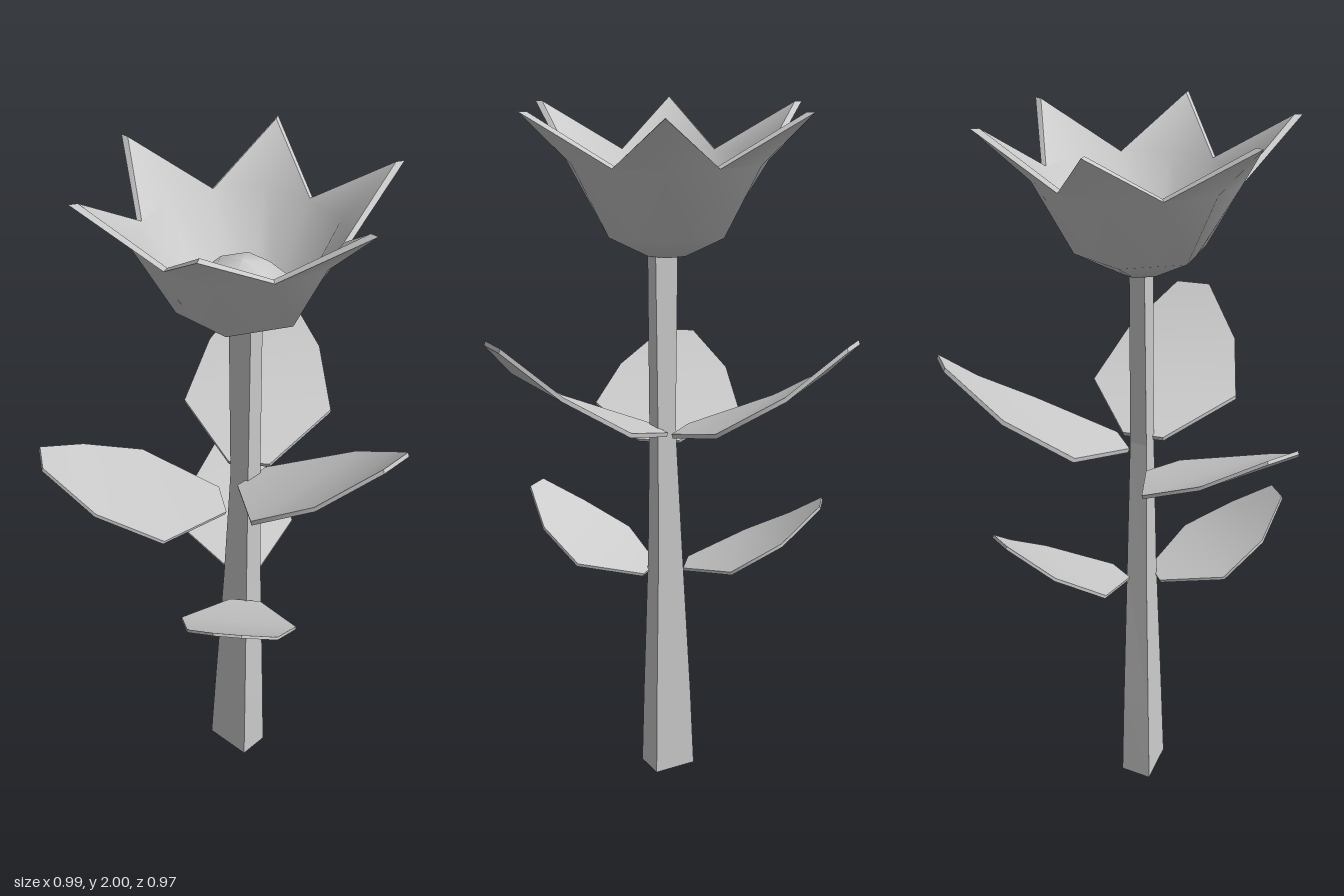
import * as THREE from 'three';

const mat = new THREE.MeshStandardMaterial({ color: 0xcccccc, side: THREE.DoubleSide });

// Skin closed loops of points, stacked from first to last
function loft(rows, smooth) {
  const n = rows[0].length, index = [];
  for (let j = 0; j < rows.length - 1; j++) {
    for (let i = 0; i < n; i++) {
      const k = (i + 1) % n;
      const a = j * n + i, b = j * n + k, c = b + n, d = a + n;
      index.push(a, b, d, b, c, d);
    }
  }
  let geo = new THREE.BufferGeometry();
  geo.setAttribute('position', new THREE.Float32BufferAttribute(rows.flat(2), 3));
  geo.setIndex(index);
  if (!smooth) geo = geo.toNonIndexed();
  geo.computeVertexNormals();
  return geo;
}

function part(name, geo, parent) {
  const mesh = new THREE.Mesh(geo, mat);
  mesh.name = name;
  parent.add(mesh);
  return mesh;
}

// Twelve-point ring alternating between petal middles and valleys
function ring(rPetal, yPetal, rValley, yValley) {
  return Array.from({ length: 12 }, (_, i) => {
    const a = i * Math.PI / 6, r = i % 2 ? rValley : rPetal;
    return [r * Math.sin(a), i % 2 ? yValley : yPetal, r * Math.cos(a)];
  });
}

// Thin slab bent upward and shaped by length stations [z, y, half width]
function leafGeometry() {
  const stations = [[0, 0, 0.06], [0.2, 0.07, 0.22], [0.375, 0.18, 0.168], [0.5, 0.3, 0.051]];
  const geo = new THREE.BoxGeometry(2, 1, 3, 1, 1, 3);
  const p = geo.attributes.position;
  for (let i = 0; i < p.count; i++) {
    const [z, y, w] = stations[Math.round(p.getZ(i) + 1.5)];
    const under = p.getY(i) < 0;
    p.setXYZ(i, p.getX(i) * w, y - (under ? 0.012 : 0), z + (under ? 0.004 : 0));
  }
  geo.computeVertexNormals();
  return geo;
}

export function createModel() {
  const model = new THREE.Group();
  model.name = 'flower';

  // Tapered four-sided stem: [y, left x, right x, front z, back z right, back z left]
  const sections = [
    [0, 0, 0, -0.07, -0.07, -0.07],
    [0, -0.045, 0.048, 0, -0.132, -0.15],
    [0.25, -0.037, 0.046, -0.002, -0.119, -0.134],
    [0.7, -0.022, 0.042, -0.008, -0.09, -0.103],
    [1.1, -0.014, 0.038, -0.008, -0.066, -0.077],
    [1.62, -0.01, 0.036, 0, -0.07, -0.08],
  ];
  part('stem', loft(sections.map(([y, l, r, f, br, bl]) =>
    [[l, y, f], [r, y, f], [r, y, br], [l, y, bl]]), false), model);

  // Blossom: smooth outer and inner bowls joined by a thin rim
  const blossom = new THREE.Group();
  blossom.name = 'blossom';
  blossom.position.set(0.01, 0, -0.05);
  model.add(blossom);
  const outer = [
    ring(0, 1.6, 0, 1.6),
    ring(0.06, 1.6, 0.052, 1.6),
    ring(0.18, 1.66, 0.156, 1.66),
    ring(0.288, 1.86, 0.277, 1.86),
    ring(0.436, 2.0, 0.277, 1.86),
  ];
  const inner = [
    ring(0.412, 2.0, 0.264, 1.865),
    ring(0.272, 1.865, 0.264, 1.865),
    ring(0.168, 1.675, 0.145, 1.675),
    ring(0.055, 1.615, 0.048, 1.615),
    ring(0, 1.615, 0, 1.615),
  ];
  part('petalsOutside', loft(outer, true), blossom);
  part('petalsInside', loft(inner, true), blossom);
  part('petalRim', loft([outer[4], inner[0]], false), blossom);

  // Six-sided domed centre
  const dome = [[0.13, 1.64], [0.148, 1.67], [0.14, 1.71], [0.075, 1.77], [0, 1.785]];
  part('flowerCentre', new THREE.LatheGeometry(dome.map(([r, y]) => new THREE.Vector2(r, y)), 6), blossom);

  // Leaves: name, base position, heading direction (x, z), size, rise
  const leaf = leafGeometry();
  const leaves = [
    ['upperFrontLeaf', [0.015, 1.105, -0.02], [0, 1], 1, 1],
    ['upperBackLeftLeaf', [0.057, 1.105, -0.07], [0.81, -0.585], 1, 1],
    ['upperBackRightLeaf', [-0.06, 1.04, -0.065], [-0.81, -0.585], 1, 0.73],
    ['lowerBackLeftLeaf', [0.06, 0.69, -0.09], [0.63, -0.77], 0.78, 0.72],
    ['lowerFrontRightLeaf', [-0.02, 0.655, -0.015], [-0.81, 0.585], 0.77, 0.72],
  ];
  for (const [name, base, [dx, dz], size, rise] of leaves) {
    const mesh = part(name, leaf, model);
    mesh.position.set(...base);
    mesh.rotation.y = Math.atan2(dx, dz);
    mesh.scale.set(size, rise, size);
  }

  return model;
}
